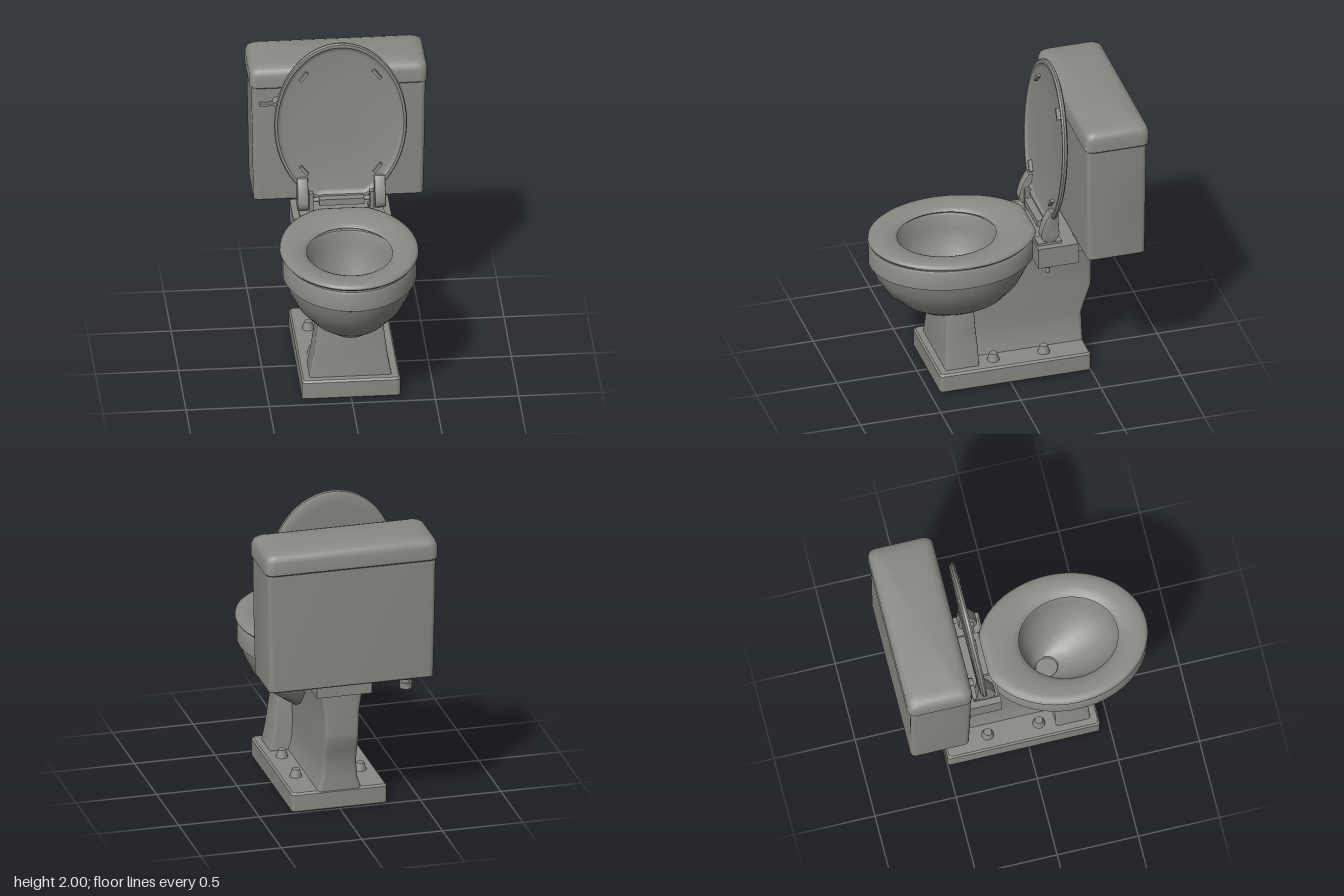
import * as THREE from 'three';
import { toCreasedNormals } from 'three/addons/utils/BufferGeometryUtils.js';

// Ring of points at height y: ellipse between zBack and zFront, optionally cut flat at zMin
function oval(y, w, zFront, zBack, zMin = -9, n = 64) {
  const c = (zFront + zBack) / 2, a = (zFront - zBack) / 2;
  return Array.from({ length: n }, (_, i) => {
    const t = (i / n) * Math.PI * 2;
    return new THREE.Vector3(w * Math.cos(t), y, Math.max(zMin, c + a * Math.sin(t)));
  });
}

// Ring of points at height y: rounded rectangle of half width w
function rect(y, w, zFront, zBack, r, seg = 5) {
  const c = (zFront + zBack) / 2, d = (zFront - zBack) / 2, ring = [];
  [[1, 1], [-1, 1], [-1, -1], [1, -1]].forEach(([sx, sz], k) => {
    for (let i = 0; i <= seg; i++) {
      const t = (k + i / seg) * Math.PI / 2;
      ring.push(new THREE.Vector3(sx * (w - r) + r * Math.cos(t), y, c + sz * (d - r) + r * Math.sin(t)));
    }
  });
  return ring;
}

// Skin through rings; caps close the first and last ring
function loft(rings, { capStart = true, capEnd = true, crease = 0.6 } = {}) {
  const n = rings[0].length, pos = [];
  const centre = ring => {
    const m = ring.reduce((s, p) => s.add(p), new THREE.Vector3()).divideScalar(n);
    return ring.map(() => m);
  };
  const rows = [...rings];
  if (capStart) rows.unshift(centre(rings[0]));
  if (capEnd) rows.push(centre(rings[rings.length - 1]));
  const tri = (a, b, c) => {
    if (a.equals(b) || b.equals(c) || a.equals(c)) return;
    for (const p of [a, b, c]) pos.push(p.x, p.y, p.z);
  };
  for (let j = 0; j < rows.length - 1; j++) {
    for (let i = 0; i < n; i++) {
      const k = (i + 1) % n;
      tri(rows[j][i], rows[j + 1][i], rows[j][k]);
      tri(rows[j][k], rows[j + 1][i], rows[j + 1][k]);
    }
  }
  const g = new THREE.BufferGeometry();
  g.setAttribute('position', new THREE.Float32BufferAttribute(pos, 3));
  return toCreasedNormals(g, crease);
}

export function createModel() {
  const root = new THREE.Group();
  root.name = 'toilet';
  const ceramic = new THREE.MeshStandardMaterial({ color: 0x8b8b85 });
  ceramic.name = 'grey ceramic';

  const add = (name, geo, x = 0, y = 0, z = 0, parent = root) => {
    const m = new THREE.Mesh(geo, ceramic);
    m.name = name;
    m.position.set(x, y, z);
    parent.add(m);
    return m;
  };
  const box = (w, h, d) => new THREE.BoxGeometry(w, h, d);
  const cyl = (rTop, rBottom, h) => new THREE.CylinderGeometry(rTop, rBottom, h, 20);

  // Base slab and the two parts of the pedestal
  add('plinth', loft([
    rect(0, 0.285, 0.43, -0.49, 0.02), rect(0.01, 0.295, 0.44, -0.5, 0.02),
    rect(0.113, 0.295, 0.44, -0.5, 0.02), rect(0.125, 0.285, 0.43, -0.49, 0.02),
  ]));
  add('frontPedestal', loft([
    rect(0.12, 0.247, 0.392, 0.18, 0.015), rect(0.25, 0.223, 0.384, 0.185, 0.015),
    rect(0.38, 0.207, 0.378, 0.195, 0.015), rect(0.49, 0.195, 0.37, 0.2, 0.015),
  ]));
  add('rearColumn', loft([
    rect(0.12, 0.135, 0.25, -0.5, 0.025), rect(0.2, 0.112, 0.25, -0.5, 0.025),
    rect(0.3, 0.105, 0.25, -0.5, 0.025), rect(0.39, 0.105, 0.25, -0.53, 0.025),
    rect(0.48, 0.105, 0.25, -0.56, 0.025), rect(0.5, 0.105, 0.05, -0.56, 0.025),
    rect(0.65, 0.11, -0.05, -0.56, 0.025), rect(0.78, 0.13, -0.05, -0.56, 0.025),
  ]));

  // Bowl: outside, over the rim, down the inside to the drain
  const bowlRows = [
    [0.393, 0.04, 0.38, 0.2], [0.405, 0.08, 0.42, 0.14], [0.43, 0.135, 0.475, 0.06],
    [0.5, 0.235, 0.585, -0.04], [0.6, 0.32, 0.69, -0.125], [0.7, 0.368, 0.755, -0.175],
    [0.77, 0.385, 0.778, -0.19], [0.778, 0.403, 0.792, -0.22], [0.89, 0.403, 0.792, -0.22],
    [0.905, 0.395, 0.785, -0.21], [0.905, 0.28, 0.635, 0], [0.89, 0.27, 0.628, 0.005],
    [0.8, 0.268, 0.625, 0.01], [0.7, 0.235, 0.58, 0.035], [0.6, 0.165, 0.47, 0.07],
    [0.53, 0.1, 0.34, 0.095], [0.51, 0.065, 0.25, 0.11], [0.495, 0.06, 0.245, 0.115],
  ];
  add('bowl', loft(bowlRows.map(r => oval(...r)), { crease: 0.7 }));

  // Shelf behind the bowl that carries the tank
  add('shelf', box(0.59, 0.133, 0.25), 0, 0.838, -0.295);
  add('shelfTail', box(0.34, 0.133, 0.2), 0, 0.838, -0.505);

  // Seat ring: blend from the outer to the inner outline, lifted a little at the back
  const outer = oval(0, 0.416, 0.795, -0.235, -0.205), inner = oval(0, 0.256, 0.615, 0.015);
  const seatRows = [[0.03, 0.918], [0, 0.926], [0.02, 0.938], [0.1, 0.947], [0.3, 0.951],
    [0.6, 0.949], [0.85, 0.941], [0.97, 0.932], [1, 0.925], [0.97, 0.918], [0.03, 0.918]];
  add('seat', loft(seatRows.map(([f, y]) => outer.map((p, i) => {
    const v = p.clone().lerp(inner[i], f);
    v.y = y + Math.max(0, 0.1 - v.z) * 0.045;
    return v;
  })), { capStart: false, capEnd: false, crease: 0.8 }));
  for (const sx of [-1, 1]) for (const z of [0.62, 0.05])
    add('seatBumper', box(0.03, 0.02, 0.09), sx * 0.22, 0.911, z).rotation.y = sx * (z > 0.3 ? -0.8 : 0.5);

  // Raised lid, modelled lying down and then tilted up
  const lid = new THREE.Group();
  lid.name = 'lid';
  lid.position.set(0, 1.475, -0.288);
  lid.rotation.x = -Math.PI / 2 - 0.07;
  root.add(lid);
  const lidRows = [[0.3, 0.016], [0.89, 0.016], [0.925, 0.012], [0.95, 0], [0.985, 0], [1, 0.01],
    [0.995, 0.025], [0.95, 0.036], [0.85, 0.04], [0.4, 0.042]];
  add('lidPanel', loft(lidRows.map(([s, y]) =>
    oval(y, 0.4 * s, 0.525 * s, -0.525 * s, -0.485 * s))), 0, 0, 0, lid);
  for (const sx of [-1, 1]) for (const z of [0.315, -0.3])
    add('lidBumper', box(0.07, 0.025, 0.018), sx * 0.22, 0.006, z, lid).rotation.y =
      sx * Math.sign(z) * 0.9;

  // Hinges: teardrop ears, posts, mounting plates and the bolts below
  const ear = new THREE.Shape();
  ear.moveTo(-0.298, 1.12);
  ear.quadraticCurveTo(-0.3, 1.05, -0.305, 0.985);
  ear.absarc(-0.255, 0.98, 0.05, Math.PI, Math.PI * 2, false);
  ear.quadraticCurveTo(-0.215, 1.05, -0.262, 1.12);
  const earGeo = new THREE.ExtrudeGeometry(ear, {
    depth: 0.05, bevelEnabled: true, bevelSize: 0.008, bevelThickness: 0.008, bevelSegments: 2, curveSegments: 16,
  });
  earGeo.rotateY(-Math.PI / 2);
  earGeo.translate(0.025, 0, 0);
  for (const sx of [-1, 1]) {
    add('hingeEar', toCreasedNormals(earGeo, 0.7), sx * 0.232, 0, 0);
    add('hingePost', box(0.024, 0.12, 0.06), sx * 0.182, 0.98, -0.255);
    add('hingePlate', box(0.09, 0.016, 0.15), sx * 0.21, 0.912, -0.255);
    add('hingeNut', cyl(0.025, 0.022, 0.04), sx * 0.22, 0.752, -0.25);
    add('hingeBolt', cyl(0.013, 0.011, 0.06), sx * 0.22, 0.72, -0.25);
    // Floor bolt caps
    for (const z of [0.083, -0.232])
      add('boltCap', cyl(0.024, 0.038, 0.05), sx * 0.2, 0.147, z);
  }
  add('hingeBar', box(0.27, 0.04, 0.07), 0, 0.985, -0.245);
  add('hingePin', cyl(0.014, 0.014, 0.46).rotateZ(Math.PI / 2), 0, 0.985, -0.255);

  // Tank and its cover
  add('tank', loft([
    rect(0.908, 0.505, -0.423, -0.772, 0.03), rect(0.914, 0.51, -0.418, -0.777, 0.03),
    rect(1.3, 0.518, -0.411, -0.78, 0.03), rect(1.68, 0.523, -0.408, -0.783, 0.03),
  ]));
  add('tankCover', loft([
    rect(1.668, 0.525, -0.41, -0.79, 0.045), rect(1.678, 0.535, -0.4, -0.8, 0.05),
    rect(1.755, 0.535, -0.4, -0.8, 0.05), rect(1.785, 0.525, -0.41, -0.79, 0.05),
    rect(1.8, 0.505, -0.43, -0.77, 0.05), rect(1.81, 0.46, -0.46, -0.74, 0.05),
  ], { crease: 0.7 }));

  // Flush lever
  add('leverBoss', cyl(0.024, 0.032, 0.05).rotateX(Math.PI / 2), -0.37, 1.582, -0.388);
  add('leverArm', loft([
    rect(-0.008, 0.07, 0.012, -0.014, 0.008), rect(0.008, 0.07, 0.012, -0.014, 0.008),
  ]), -0.412, 1.582, -0.376);

  // Water inlet under the tank
  add('inletFlange', cyl(0.04, 0.04, 0.03), -0.36, 0.896, -0.68);
  add('inletNeck', cyl(0.025, 0.025, 0.06), -0.36, 0.865, -0.68);
  add('inletNut', new THREE.CylinderGeometry(0.04, 0.04, 0.036, 8), -0.36, 0.838, -0.68);

  return root;
}
